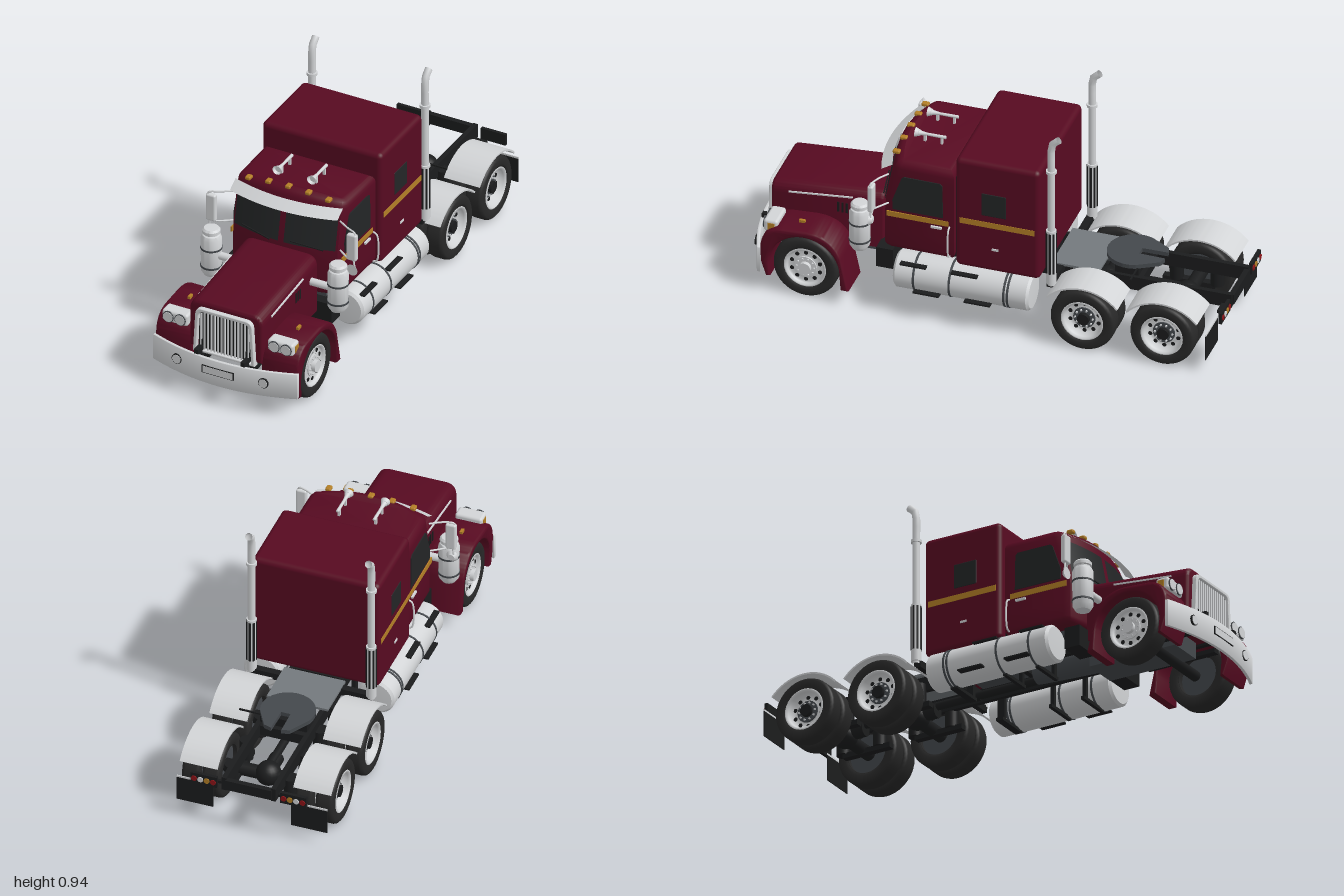
import * as THREE from 'three';
import { toCreasedNormals } from 'three/addons/utils/BufferGeometryUtils.js';
import { RoundedBoxGeometry } from 'three/addons/geometries/RoundedBoxGeometry.js';
import { ParametricGeometry } from 'three/addons/geometries/ParametricGeometry.js';

export function createModel() {
  const root = new THREE.Group();
  root.name = 'semiTruck';
  const mat = (name, color, side = THREE.FrontSide) => {
    const m = new THREE.MeshStandardMaterial({ color, side });
    m.name = name;
    return m;
  };
  const paint = mat('maroonPaint', 0x570a21), chrome = mat('chrome', 0xd2d4d6, THREE.DoubleSide);
  const black = mat('chassisBlack', 0x1b1c1d), rubber = mat('tyreRubber', 0x282828);
  const glass = mat('darkGlass', 0x232526, THREE.DoubleSide), amber = mat('amber', 0xb27e26);
  const grey = mat('deckGrey', 0x74797d), steel = mat('darkSteel', 0x44484c), red = mat('redLens', 0x8e1418);

  // ---- helpers ----
  const add = (name, geo, m, x = 0, y = 0, z = 0) => {
    const mesh = new THREE.Mesh(geo, m);
    mesh.name = name;
    mesh.position.set(x, y, z);
    root.add(mesh);
    return mesh;
  };
  const box = (name, m, w, h, d, x, y, z) => add(name, new THREE.BoxGeometry(w, h, d), m, x, y, z);
  const rbox = (name, m, w, h, d, r, x, y, z) => add(name, new RoundedBoxGeometry(w, h, d, 3, r), m, x, y, z);
  const cyl = (name, m, r, len, axis, x, y, z, r2 = r) => {
    const g = new THREE.CylinderGeometry(r, r2, len, 24);
    if (axis === 'x') g.rotateZ(-Math.PI / 2);
    if (axis === 'z') g.rotateX(Math.PI / 2);
    return add(name, g, m, x, y, z);
  };
  const tube = (name, m, r, pts) => add(name, new THREE.TubeGeometry(
    new THREE.CatmullRomCurve3(pts.map(p => new THREE.Vector3(...p))), 20, r, 10), m);
  const lathe = (pts, seg = 32) => new THREE.LatheGeometry(pts.map(p => new THREE.Vector2(...p)), seg);
  const shape = pts => new THREE.Shape(pts.map(p => new THREE.Vector2(...p)));
  const extrude = (s, depth, b = 0, steps = 1) => new THREE.ExtrudeGeometry(s, {
    depth: depth - 2 * b, steps, curveSegments: 20, bevelEnabled: b > 0,
    bevelThickness: b, bevelSize: b, bevelOffset: -b, bevelSegments: 4 }).translate(0, 0, b);
  // (z, y) outline spread between two x positions
  const across = (s, xa, xb, b = 0) =>
    toCreasedNormals(extrude(s, Math.abs(xb - xa), b).rotateY(-Math.PI / 2).translate(Math.max(xa, xb), 0, 0), 0.6);
  // (x, z) outline raised between two heights
  const plan = (pts, y0, y1, b = 0, steps = 1) =>
    extrude(shape(pts.map(([x, z]) => [x, -z])), y1 - y0, b, steps).rotateX(-Math.PI / 2).translate(0, y0, 0);
  const warp = (geo, rule) => {
    const p = geo.attributes.position, v = new THREE.Vector3();
    for (let i = 0; i < p.count; i++) {
      rule(v.fromBufferAttribute(p, i));
      p.setXYZ(i, v.x, v.y, v.z);
    }
    return toCreasedNormals(geo, 0.6);
  };
  const range = (n, f) => Array.from({ length: n }, (_, i) => f(i));

  // ---- cab with bowed, raked windscreen ----
  const rake = y => Math.max(0, y - 0.46) * 0.2;
  const zFront = (x, y) => 0.465 - 0.7 * x * x - rake(y);
  const frontArc = range(15, i => { const x = 0.235 - i * 0.47 / 14; return [x, zFront(x, 0)]; });
  const cabPlan = [[-0.25, 0.13], [-0.247, 0.4], ...frontArc.reverse(), [0.247, 0.4], [0.25, 0.13]];
  add('cab', warp(plan(cabPlan, 0.262, 0.7, 0.03, 6), v => {
    if (v.z > 0.3) v.z -= rake(v.y);
    if (v.y > 0.66) v.y -= 0.35 * v.x * v.x;
  }), paint);
  for (const s of [-1, 1])
    add('windscreenPane', new ParametricGeometry((u, v, t) => {
      const x = s * 0.12 + (u - 0.5) * 0.215, y = 0.477 + v * 0.155;
      t.set(x, y, zFront(x, y) + 0.004);
    }, 10, 4), glass);
  add('sunVisor', new ParametricGeometry((u, v, t) => {
    const x = (u - 0.5) * 0.485, y = 0.632 + v * 0.03;
    t.set(x, y, zFront(x, y) + 0.05 - 0.042 * v);
  }, 16, 3), chrome);
  box('cabSleeperSeal', black, 0.46, 0.38, 0.03, 0, 0.46, 0.125);
  rbox('sleeper', paint, 0.542, 0.51, 0.355, 0.022, 0, 0.512, -0.058);
  for (let i = -2; i <= 2; i++) rbox('roofMarker', amber, 0.024, 0.016, 0.03, 0.006, i * 0.09, 0.699 - 0.003 * i * i, 0.395);

  // ---- hood and grille ----
  const hoodShape = new THREE.Shape().moveTo(-0.165, 0.2).lineTo(0.165, 0.2).lineTo(0.165, 0.375)
    .quadraticCurveTo(0.163, 0.418, 0.12, 0.421).lineTo(-0.12, 0.421).quadraticCurveTo(-0.163, 0.418, -0.165, 0.375);
  add('hood', warp(extrude(hoodShape, 0.475, 0.015).translate(0, 0, 0.455), v => {
    if (v.y > 0.3) v.y += (0.93 - v.z) * 0.075;
  }), paint);
  const arch = (w, y0, y1, r) => new THREE.Path().moveTo(-w, y0).lineTo(w, y0).lineTo(w - 0.01, y1 - r)
    .quadraticCurveTo(w - 0.012, y1, w - 0.012 - r, y1).lineTo(r + 0.012 - w, y1).quadraticCurveTo(0.012 - w, y1, 0.01 - w, y1 - r);
  const grille = new THREE.Shape(arch(0.139, 0.195, 0.398, 0.03).getPoints(8));
  grille.holes.push(arch(0.124, 0.206, 0.383, 0.022));
  add('grilleFrame', extrude(grille, 0.03, 0.004).translate(0, 0, 0.92), chrome);
  box('grilleBacking', black, 0.235, 0.17, 0.004, 0, 0.293, 0.932);
  for (let i = -7; i <= 7; i++) box('grilleBar', chrome, 0.0065, i * i > 40 ? 0.155 : 0.175, 0.006, i * 0.0152, 0.293, 0.938);

  // ---- bumper ----
  const bow = x => 0.998 - 0.6 * x * x;
  const bx = range(21, i => -0.325 + i * 0.0325);
  add('bumper', toCreasedNormals(plan([...bx.map(x => [x, bow(x)]), ...bx.slice().reverse().map(x => [x, bow(x) - 0.014])],
    0.09, 0.206, 0.003), 0.6), chrome);
  box('plateEdge', black, 0.142, 0.035, 0.006, 0, 0.156, 0.997);
  box('plateBlank', chrome, 0.135, 0.029, 0.006, 0, 0.156, 0.9985);

  // ---- chassis ----
  box('engineBlock', steel, 0.16, 0.13, 0.4, 0, 0.195, 0.62);
  cyl('gearbox', steel, 0.06, 0.3, 'z', 0, 0.2, 0.28, 0.045);
  cyl('driveShaft', black, 0.017, 0.9, 'z', 0, 0.17, -0.32);
  box('cabFloor', steel, 0.36, 0.02, 0.6, 0, 0.255, 0.12);
  for (const z of [-0.985, -0.6, -0.2, 0.1, 0.46, 0.9]) box('crossMember', black, 0.2, 0.045, 0.022, 0, 0.22, z);
  box('deckPlate', grey, 0.26, 0.01, 0.2, 0, 0.256, -0.34);
  // fifth wheel plate with a notch opening to the rear
  const plateArc = range(17, i => { const a = -0.35 + i * (Math.PI + 0.7) / 16; return [0.112 * Math.cos(a), -0.545 + 0.112 * Math.sin(a)]; });
  add('fifthWheel', plan([...plateArc, [-0.055, -0.67], [-0.022, -0.68], [-0.02, -0.57], [0.02, -0.57], [0.022, -0.68], [0.055, -0.67]], 0.284, 0.302), steel);
  box('fifthWheelBase', black, 0.2, 0.035, 0.1, 0, 0.267, -0.545);
  box('fifthWheelHandle', black, 0.1, 0.006, 0.006, 0.14, 0.285, -0.59);

  // ---- wheels ----
  const tyreGeo = w => lathe([[0.088, -w / 2 + 0.006], [0.1, -w / 2], [0.123, -w / 2], [0.132, -w / 2 + 0.007], [0.135, -w / 2 + 0.016],
    [0.135, w / 2 - 0.016], [0.132, w / 2 - 0.007], [0.123, w / 2], [0.1, w / 2], [0.088, w / 2 - 0.006], [0.086, -w / 2 + 0.006], [0.088, -w / 2 + 0.006]], 40).rotateZ(-Math.PI / 2);
  const wheel = (s, x, z, w, front) => {
    add('tyre', tyreGeo(w), rubber, s * x, 0.135, z);
    const o = w / 2, d = front ? o - 0.02 : o - 0.04;
    const rim = lathe([[0.089, o - 0.004], [0.082, o - 0.001], [0.077, o - 0.012], [0.07, d], [0.046, d + 0.004]]).rotateZ(-s * Math.PI / 2);
    add('rim', rim, chrome, s * x, 0.135, z);
    cyl('rimBack', steel, 0.086, 0.01, 'x', s * (x - 0.01), 0.135, z);
    cyl('hub', front ? chrome : steel, 0.046, 0.02, 'x', s * (x + d), 0.135, z);
    cyl('hubCap', front ? chrome : black, 0.025, 0.03, 'x', s * (x + d + 0.012), 0.135, z);
    for (let i = 0; i < 10; i++) {
      const a = i * Math.PI / 5, c = Math.cos(a), n = Math.sin(a);
      cyl('rimHole', black, 0.0085, 0.006, 'x', s * (x + d + 0.001), 0.135 + 0.062 * c, z + 0.062 * n);
      cyl('wheelNut', chrome, 0.004, 0.008, 'x', s * (x + d + 0.012), 0.135 + 0.037 * n, z + 0.037 * c);
    }
  };
  cyl('frontAxle', black, 0.022, 0.42, 'x', 0, 0.125, 0.74);
  for (const z of [-0.43, -0.765]) {
    cyl('rearAxle', black, 0.028, 0.46, 'x', 0, 0.135, z);
    add('differential', new THREE.SphereGeometry(0.052, 20, 14), black, 0, 0.142, z);
    cyl('diffNose', black, 0.03, 0.07, 'z', 0, 0.15, z + 0.06);
  }

  // ---- outlines of the paired side parts ----
  const frontFender = new THREE.Shape().moveTo(0.9, 0.072).lineTo(0.922, 0.14).lineTo(0.924, 0.21)
    .quadraticCurveTo(0.918, 0.3, 0.83, 0.306).lineTo(0.73, 0.312).quadraticCurveTo(0.62, 0.312, 0.585, 0.215)
    .lineTo(0.553, 0.066).lineTo(0.587, 0.066).lineTo(0.592, 0.135).absarc(0.74, 0.135, 0.148, Math.PI, 0, true).lineTo(0.882, 0.075);
  const rearFender = new THREE.Shape().absarc(0, 0.09, 0.2, 0.72, Math.PI - 0.72, false).absarc(0, 0.09, 0.193, Math.PI - 0.72, 0.72, true);
  const doorGlass = shape([[0.388, 0.457], [0.39, 0.5], [0.352, 0.608], [0.342, 0.617], [0.19, 0.617], [0.18, 0.607], [0.177, 0.457]]);

  for (const s of [-1, 1]) {
    box('frameRail', black, 0.02, 0.06, 1.93, s * 0.105, 0.22, -0.025);
    wheel(s, 0.262, 0.74, 0.09, true);
    add('frontFender', across(frontFender, s * 0.155, s * 0.322, 0.012), paint);
    box('fenderMarker', amber, 0.012, 0.012, 0.025, s * 0.245, 0.315, 0.77);
    for (const z of [-0.43, -0.765]) {
      wheel(s, 0.198, z, 0.076, false);
      wheel(s, 0.284, z, 0.076, false);
      add('rearFender', across(rearFender, s * 0.162, s * 0.322), chrome, 0, 0, z);
      for (const d of [-0.085, 0.085]) cyl('airSpring', black, 0.028, 0.09, 'y', s * 0.125, 0.17, z + d);
      box('trailingArm', black, 0.03, 0.022, 0.22, s * 0.125, 0.118, z + 0.03);
    }
    box('springLeaf', black, 0.03, 0.018, 0.32, s * 0.105, 0.155, 0.74);

    // headlights
    rbox('headlightHousing', chrome, 0.116, 0.054, 0.06, 0.012, s * 0.238, 0.296, 0.888);
    for (const x of [0.212, 0.266]) {
      cyl('lampRim', steel, 0.025, 0.006, 'z', s * x, 0.296, 0.918);
      cyl('lampLens', chrome, 0.022, 0.008, 'z', s * x, 0.296, 0.919);
    }
    box('turnSignal', amber, 0.006, 0.03, 0.028, s * 0.296, 0.296, 0.885);
    cyl('fogLampEdge', black, 0.022, 0.008, 'z', s * 0.195, 0.153, bow(0.195) + 0.002);
    cyl('fogLampLens', chrome, 0.019, 0.008, 'z', s * 0.195, 0.153, bow(0.195) + 0.004);
    box('bumperBracket', black, 0.02, 0.05, 0.07, s * 0.105, 0.2, 0.95);

    // hood trim
    const trim = box('hoodTrim', chrome, 0.006, 0.006, 0.27, s * 0.166, 0.402, 0.72);
    trim.rotation.x = 0.1;
    for (let i = 0; i < 3; i++) box('hoodVent', black, 0.004, 0.045, 0.009, s * 0.166, 0.36, 0.61 + i * 0.018);

    // air cleaner
    add('airCleaner', toCreasedNormals(lathe([[0, 0.268], [0.03, 0.27], [0.042, 0.29], [0.043, 0.44], [0.036, 0.455], [0.03, 0.458],
      [0.03, 0.463], [0.037, 0.465], [0.037, 0.478], [0.03, 0.486], [0, 0.488]]), 0.6), chrome, s * 0.286, 0, 0.515);
    for (const y of [0.312, 0.395]) cyl('cleanerBand', steel, 0.0445, 0.008, 'y', s * 0.286, y, 0.515);
    cyl('intakePipe', chrome, 0.016, 0.12, 'x', s * 0.2, 0.365, 0.515);

    // mirrors and arms
    rbox('mirror', chrome, 0.044, 0.122, 0.024, 0.008, s * 0.318, 0.54, 0.455);
    tube('mirrorArm', chrome, 0.004, [[s * 0.24, 0.612, 0.41], [s * 0.29, 0.612, 0.44], [s * 0.33, 0.606, 0.455], [s * 0.335, 0.58, 0.455]]);
    tube('mirrorStay', chrome, 0.004, [[s * 0.24, 0.475, 0.41], [s * 0.3, 0.477, 0.45], [s * 0.32, 0.485, 0.455], [s * 0.33, 0.435, 0.455]]);
    cyl('spotMirror', chrome, 0.025, 0.014, 'z', s * 0.32, 0.435, 0.455, 0.014);

    // cab side details
    add('doorGlass', across(doorGlass, s * 0.243, s * 0.2525), glass);
    box('cabStripe', amber, 0.006, 0.023, 0.26, s * 0.249, 0.432, 0.285);
    box('sleeperStripe', amber, 0.006, 0.025, 0.315, s * 0.27, 0.478, -0.057);
    rbox('sleeperWindow', glass, 0.008, 0.105, 0.105, 0.0035, s * 0.269, 0.572, -0.043);
    box('doorHandle', chrome, 0.01, 0.009, 0.045, s * 0.253, 0.408, 0.205);
    box('lockerHandle', chrome, 0.008, 0.009, 0.028, s * 0.271, 0.365, -0.05);
    tube('grabHandle', chrome, 0.004, [[s * 0.25, 0.42, 0.15], [s * 0.267, 0.41, 0.15], [s * 0.267, 0.29, 0.15], [s * 0.25, 0.28, 0.15]]);
    const wiper = box('wiper', black, 0.14, 0.004, 0.005, s * 0.06 - 0.06, 0.487, 0.472);
    wiper.position.x = s * 0.115;
    wiper.position.z = zFront(0.115, 0.487) + 0.01;
    wiper.rotation.set(0, s * 0.17, -s * 0.13 * s);

    // roof horn
    add('horn', lathe([[0, 0], [0.007, 0.002], [0.006, 0.08], [0.009, 0.105], [0.02, 0.13]], 20).rotateX(Math.PI / 2), chrome, s * 0.078, 0.724, 0.22);
    cyl('hornThroat', chrome, 0.014, 0.004, 'z', s * 0.078, 0.724, 0.336);
    for (const z of [0.24, 0.31]) box('hornFoot', chrome, 0.01, 0.03, 0.01, s * 0.078, 0.706, z);

    // fuel tank, straps and steps
    add('fuelTank', toCreasedNormals(lathe([[0, -0.288], [0.068, -0.285], [0.078, -0.275], [0.078, 0.275], [0.068, 0.285], [0, 0.288]], 40), 0.6)
      .rotateX(Math.PI / 2), chrome, s * 0.243, 0.18, 0.083);
    for (const z of [0.28, 0.13, -0.1, -0.115]) {
      cyl('tankStrap', steel, 0.0805, 0.009, 'z', s * 0.243, 0.18, z);
      box('tankBracket', black, 0.15, 0.014, 0.016, s * 0.175, 0.1, z);
      box('tankHanger', black, 0.016, 0.13, 0.016, s * 0.12, 0.16, z);
    }
    for (const z of [0.285, 0.07]) {
      box('upperStep', black, 0.04, 0.007, 0.11, s * 0.292, 0.24, z);
      box('lowerStep', black, 0.03, 0.007, 0.11, s * 0.313, 0.128, z - 0.06);
    }
    box('batteryBox', black, 0.12, 0.09, 0.07, s * 0.17, 0.2, 0.43);

    // exhaust stack
    tube('exhaustStack', chrome, 0.0155, [[s * 0.255, 0.24, -0.28], [s * 0.255, 0.5, -0.28], [s * 0.255, 0.8, -0.28],
      [s * 0.255, 0.88, -0.28], [s * 0.255, 0.912, -0.287], [s * 0.255, 0.933, -0.312]]);
    cyl('stackClamp', chrome, 0.022, 0.012, 'y', s * 0.255, 0.778, -0.28);
    cyl('heatShield', chrome, 0.021, 0.25, 'y', s * 0.255, 0.375, -0.28);
    for (let i = 0; i < 8; i++) {
      const a = i * Math.PI / 4;
      cyl('shieldSlot', black, 0.0055, 0.19, 'y', s * 0.255 + 0.018 * Math.cos(a), 0.395, -0.28 + 0.018 * Math.sin(a));
    }
    box('stackBracket', black, 0.15, 0.03, 0.03, s * 0.18, 0.24, -0.275);

    // tail lights and mud flaps
    box('tailLightBar', black, 0.112, 0.05, 0.014, s * 0.19, 0.218, -0.986);
    [red, amber, chrome, red].forEach((m, i) => cyl('tailLight', m, 0.012, 0.008, 'z', s * (0.15 + i * 0.027), 0.218, -0.993));
    box('mudFlap', black, 0.155, 0.11, 0.003, s * 0.243, 0.115, -0.95);
    box('mudFlapHanger', chrome, 0.155, 0.008, 0.004, s * 0.243, 0.174, -0.95);
    box('flapArm', black, 0.07, 0.012, 0.012, s * 0.14, 0.2, -0.955);
  }
  return root;
}
